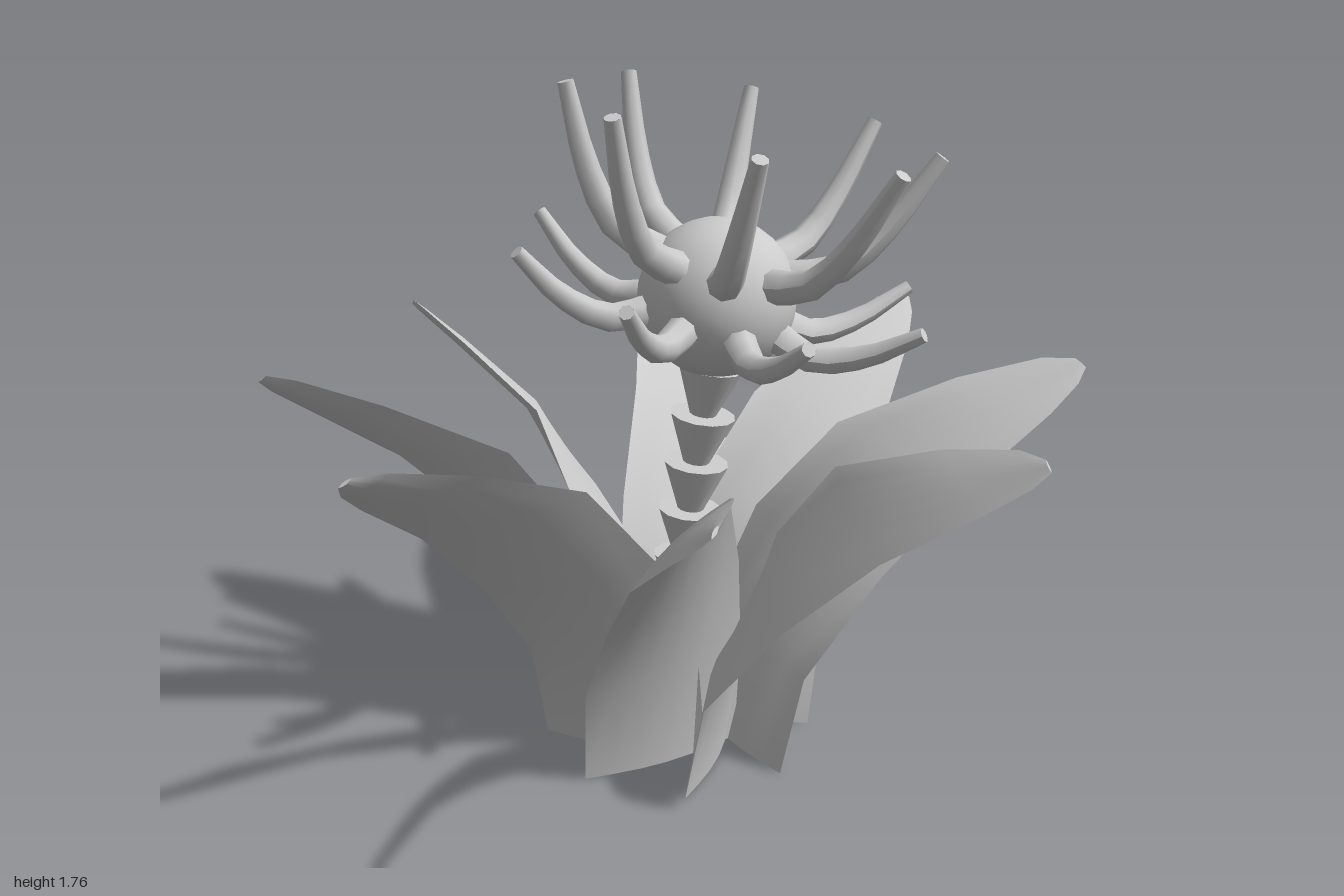
import * as THREE from 'three';
import { mergeGeometries } from 'three/addons/utils/BufferGeometryUtils.js';

const material = new THREE.MeshStandardMaterial({ color: 0xcccccc, side: THREE.DoubleSide });
const V = (x, y, z) => new THREE.Vector3(x, y, z);

// Leaf edges from base to tip: x is outward, z is sideways
const OUTER_EDGE = [[.117, 0, .34], [.17, .27, .36], [.37, .53, .40], [.60, .76, .45], [.83, .92, .475], [.92, .985, .47], [.955, 1.02, .455]];
const INNER_EDGE = [[.117, 0, -.11], [.16, .30, -.10], [.26, .60, -.03], [.43, .85, .10], [.70, .975, .25], [.88, 1.035, .37], [.94, 1.04, .43]];

// Surface over a grid of points, rows of equal length
function gridGeometry(rows) {
  const n = rows[0].length;
  const index = [];
  for (let i = 0; i < rows.length - 1; i++) {
    for (let j = 0; j < n - 1; j++) {
      const a = i * n + j, b = a + n;
      index.push(a, b, a + 1, b, b + 1, a + 1);
    }
  }
  const geometry = new THREE.BufferGeometry().setFromPoints(rows.flat());
  geometry.setIndex(index);
  geometry.computeVertexNormals();
  return geometry;
}

// A blade with a lens-shaped section, thinning towards the tip
function leafGeometry() {
  const outer = OUTER_EDGE.map(p => V(...p));
  const inner = INNER_EDGE.map(p => V(...p));
  const last = outer.length - 1;
  const steps = 6;
  const sideRows = side => outer.map((o, i) => {
    const a = Math.max(i - 1, 0), b = Math.min(i + 1, last);
    const along = outer[b].clone().add(inner[b]).sub(outer[a]).sub(inner[a]);
    const normal = along.cross(inner[i].clone().sub(o)).normalize();
    if (i === 0) normal.setY(0).normalize();
    const thickness = .03 * (1 - .85 * i / last);
    return Array.from({ length: steps + 1 }, (_, j) => {
      const t = j / steps;
      return o.clone().lerp(inner[i], t).addScaledVector(normal, side * thickness * Math.sin(Math.PI * t));
    });
  });
  const front = sideRows(1), back = sideRows(-1);
  return mergeGeometries([
    gridGeometry(front),
    gridGeometry(back.map(row => row.slice().reverse())),
    gridGeometry([back[0], front[0]]),
    gridGeometry([front[last], back[last]]),
  ]);
}

// A curved tube that narrows to a flat-ended tip
function spikeGeometry(points, baseRadius, tipRadius) {
  const curve = new THREE.CatmullRomCurve3(points.map(([r, y]) => V(r, y, 0)));
  const segments = 7, sides = 8;
  const tube = new THREE.TubeGeometry(curve, segments, 1, sides);
  const position = tube.attributes.position;
  for (let i = 0; i <= segments; i++) {
    const t = i / segments;
    const centre = curve.getPointAt(t);
    const radius = THREE.MathUtils.lerp(baseRadius, tipRadius, t);
    for (let j = 0; j <= sides; j++) {
      const k = i * (sides + 1) + j;
      const p = V().fromBufferAttribute(position, k).sub(centre).multiplyScalar(radius).add(centre);
      position.setXYZ(k, p.x, p.y, p.z);
    }
  }
  tube.computeVertexNormals();
  const cap = new THREE.CircleGeometry(tipRadius, sides);
  cap.applyQuaternion(new THREE.Quaternion().setFromUnitVectors(V(0, 0, 1), curve.getTangentAt(1)));
  const tip = curve.getPointAt(1);
  cap.translate(tip.x, tip.y, tip.z);
  return mergeGeometries([tube, cap]);
}

// Copies of one geometry turned about the upright axis
function ring(name, geometry, count, startDegrees) {
  const group = new THREE.Group();
  group.name = name + 'Ring';
  for (let i = 0; i < count; i++) {
    const mesh = new THREE.Mesh(geometry, material);
    mesh.name = name;
    mesh.rotation.y = -THREE.MathUtils.degToRad(startDegrees + i * 360 / count);
    group.add(mesh);
  }
  return group;
}

export function createModel() {
  const model = new THREE.Group();
  model.name = 'flower';

  model.add(ring('leaf', leafGeometry(), 8, 2));

  // Stem of stacked flaring cones, leaning slightly towards the head
  const stem = new THREE.Group();
  stem.name = 'stem';
  const cone = new THREE.CylinderGeometry(.085, .035, .13, 12);
  for (let i = 0; i < 8; i++) {
    const y = .065 + i * .1315;
    const mesh = new THREE.Mesh(cone, material);
    mesh.name = 'stemSegment';
    mesh.position.set(.085 * (y / 1.05) ** 2, y, 0);
    mesh.rotation.z = -.16 * y;
    stem.add(mesh);
  }
  model.add(stem);

  // Tilted head with two rings of curved spikes
  const head = new THREE.Group();
  head.name = 'head';
  head.position.set(.1, 1.23, 0);
  head.rotation.z = -.2;
  const ball = new THREE.Mesh(new THREE.SphereGeometry(.2, 24, 16), material);
  ball.name = 'ball';
  head.add(ball);
  const upper = spikeGeometry([[.15, .08], [.28, .13], [.37, .25], [.46, .45]], .045, .02);
  const lower = spikeGeometry([[.15, -.04], [.27, -.075], [.40, -.03], [.53, .07]], .045, .018);
  head.add(ring('upperSpike', upper, 8, -13));
  head.add(ring('lowerSpike', lower, 8, 11));
  model.add(head);

  return model;
}
